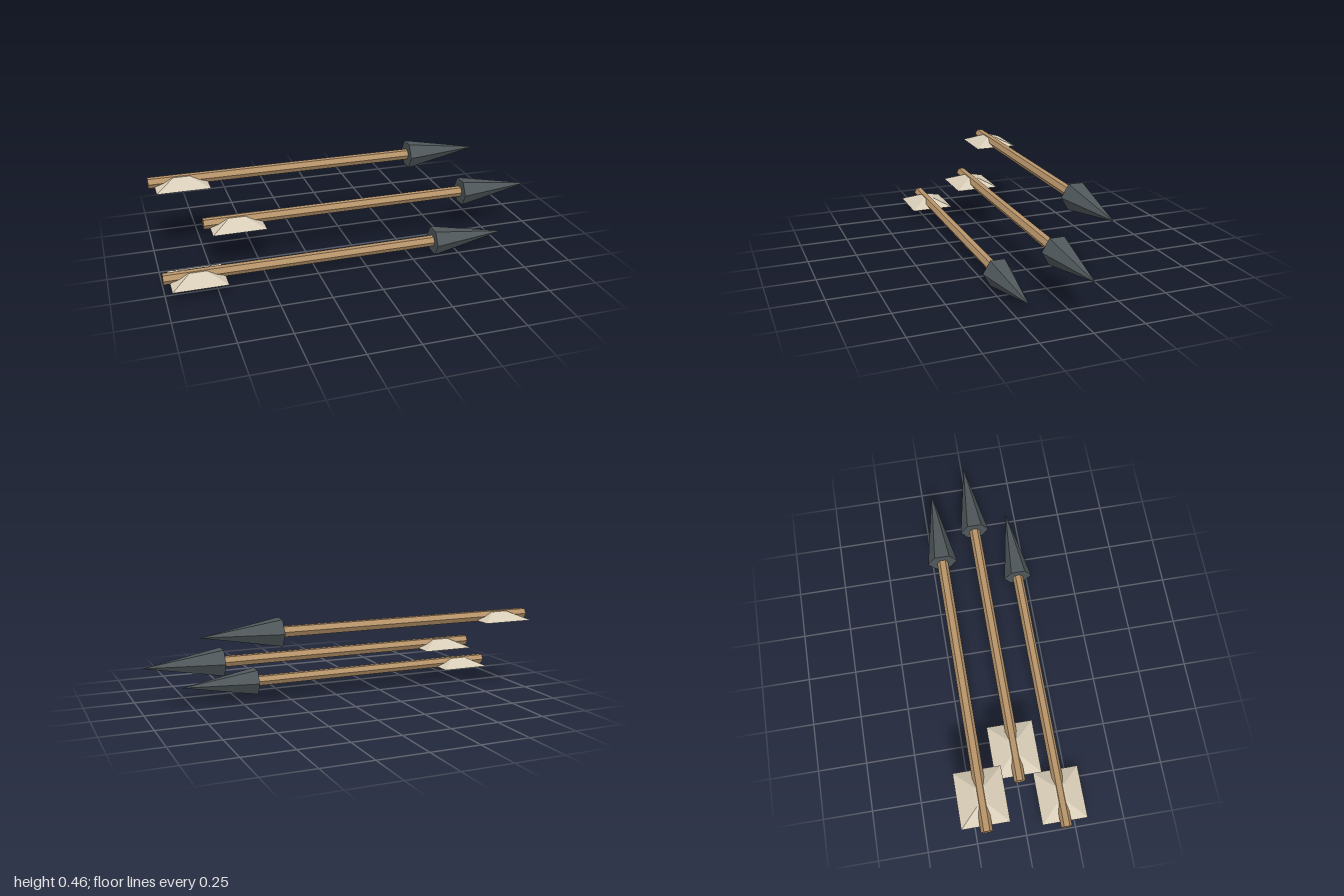
import * as THREE from 'three';

const material = (name, color) => {
  const m = new THREE.MeshStandardMaterial({ color, flatShading: true });
  m.name = name;
  return m;
};

// Hexagonal rod or cone lying along x, starting at x = 0
function hexAlongX(topRadius, baseRadius, length) {
  return new THREE.CylinderGeometry(topRadius, baseRadius, length, 6)
    .rotateZ(-Math.PI / 2)
    .translate(length / 2, 0, 0);
}

// Flat-bottomed block whose top face is narrowed on both axes
function taperedBlock(length, height, width, topLength, topWidth) {
  const geometry = new THREE.BoxGeometry(length, height, width);
  const p = geometry.attributes.position;
  for (let i = 0; i < p.count; i++) {
    if (p.getY(i) > 0) {
      p.setX(i, Math.sign(p.getX(i)) * topLength / 2);
      p.setZ(i, Math.sign(p.getZ(i)) * topWidth / 2);
    }
  }
  geometry.computeVertexNormals();
  return geometry;
}

export function createModel() {
  const wood = material('shaft wood', 0xb8956a);
  const metal = material('dark metal', 0x50585b);
  const feather = material('pale feather', 0xd8cdb8);

  const shaftGeometry = hexAlongX(0.028, 0.028, 1.375);
  const headGeometry = hexAlongX(0, 0.0745, 0.392);
  const featherGeometry = taperedBlock(0.266, 0.0395, 0.23, 0.09, 0.054);

  const model = new THREE.Group();
  model.name = 'arrows';

  // Each arrow is placed by the centre of its tail end
  const tails = [[-1, 0.0645, 0.2], [-0.767, 0.2315, 0], [-1, 0.3985, -0.2]];
  tails.forEach((tail, i) => {
    const arrow = new THREE.Group();
    arrow.name = `arrow${i + 1}`;
    const add = (name, geometry, mat, x) => {
      const mesh = new THREE.Mesh(geometry, mat);
      mesh.name = name;
      mesh.position.x = x;
      arrow.add(mesh);
    };
    add('shaft', shaftGeometry, wood, 0);
    add('arrowhead', headGeometry, metal, 1.375);
    add('fletching', featherGeometry, feather, 0.164);
    arrow.position.set(...tail);
    model.add(arrow);
  });
  return model;
}
